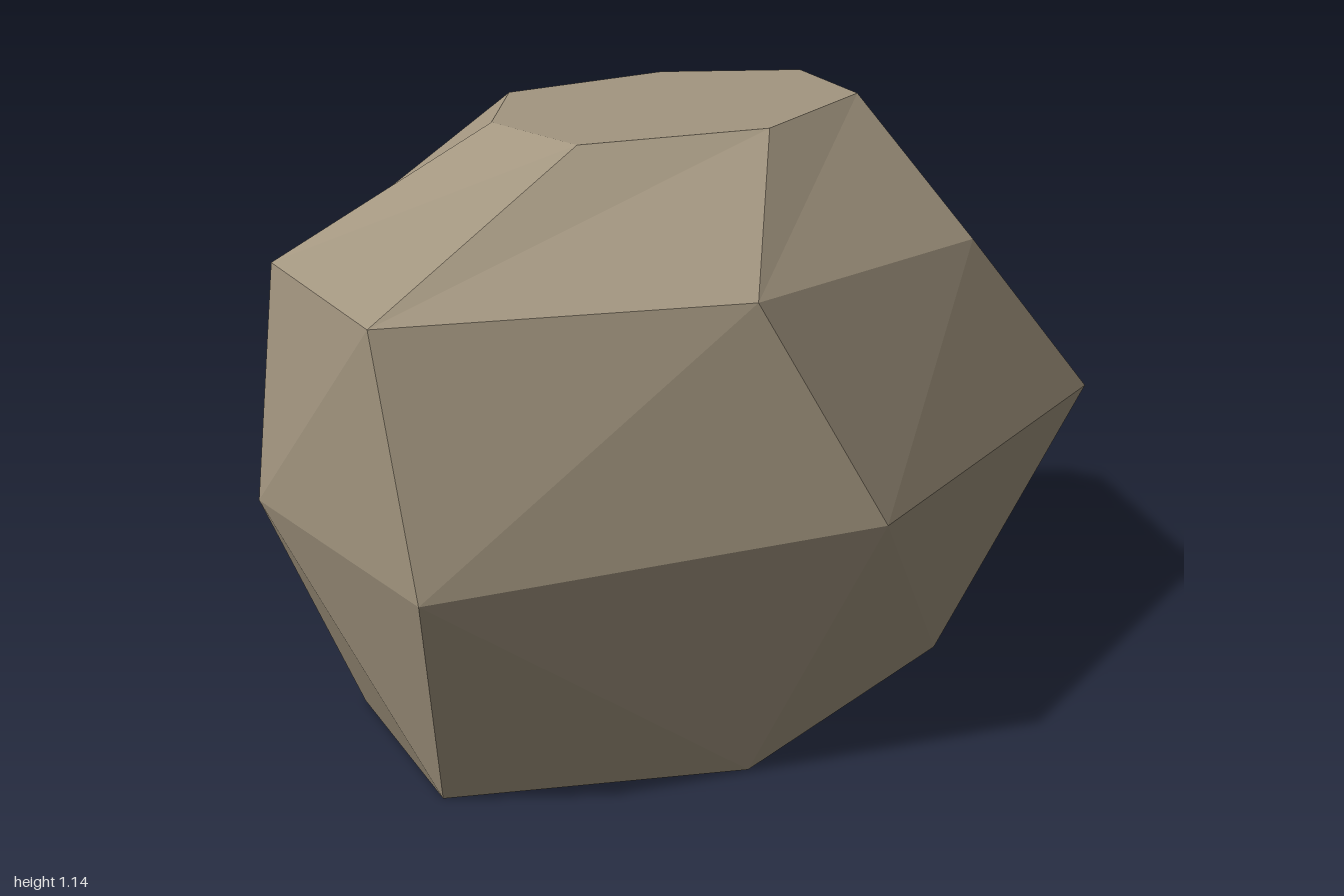
import * as THREE from 'three';

// Four seven-sided rings of [x, y, z], from the base up; each starts at +x and turns towards +z
const RINGS = [
  [[0.63, 0, 0.05], [0.30, 0, 0.42], [-0.37, 0, 0.48], [-0.82, 0, 0.14],
    [-0.65, 0, -0.27], [-0.17, 0, -0.52], [0.38, 0, -0.33]],
  [[1.0, 0.47, -0.02], [0.64, 0.515, 0.54], [-0.27, 0.515, 0.71], [-1.0, 0.48, 0.30],
    [-0.865, 0.48, -0.287], [-0.27, 0.495, -0.71], [0.54, 0.495, -0.51]],
  [[0.65, 0.91, 0.03], [0.31, 0.88, 0.47], [-0.45, 0.93, 0.56], [-0.99, 0.93, 0.19],
    [-0.815, 0.925, -0.275], [-0.30, 0.90, -0.59], [0.34, 0.915, -0.39]],
  [[0.40, 1.14, -0.04], [0.27, 1.14, 0.21], [-0.11, 1.14, 0.30], [-0.45, 1.14, 0.14],
    [-0.41, 1.14, -0.12], [-0.18, 1.14, -0.31], [0.19, 1.14, -0.24]],
];

function rockGeometry() {
  const n = 7;
  const corners = [];
  const tri = (a, b, c) => corners.push(...a, ...b, ...c);

  // Side facets: each quad is split along one diagonal
  for (let r = 0; r < 3; r++) {
    for (let i = 0; i < n; i++) {
      const j = (i + 1) % n;
      const a = RINGS[r][i], b = RINGS[r][j];
      const c = RINGS[r + 1][i], d = RINGS[r + 1][j];
      const rising = (r === 0) !== (i === n - 1);
      if (rising) {
        tri(a, d, b);
        tri(a, c, d);
      } else {
        tri(a, c, b);
        tri(b, c, d);
      }
    }
  }

  // Flat base and flat top
  const base = RINGS[0], top = RINGS[3];
  for (let i = 1; i < n - 1; i++) {
    tri(base[0], base[i], base[i + 1]);
    tri(top[0], top[i + 1], top[i]);
  }

  const geometry = new THREE.BufferGeometry();
  geometry.setAttribute('position', new THREE.Float32BufferAttribute(corners, 3));
  geometry.computeVertexNormals();
  return geometry;
}

export function createModel() {
  const stone = new THREE.MeshStandardMaterial({ color: 0xa39680 });
  stone.name = 'stone';
  stone.flatShading = true;

  const rock = new THREE.Mesh(rockGeometry(), stone);
  rock.name = 'rock';

  const model = new THREE.Group();
  model.name = 'boulder';
  model.add(rock);
  return model;
}
